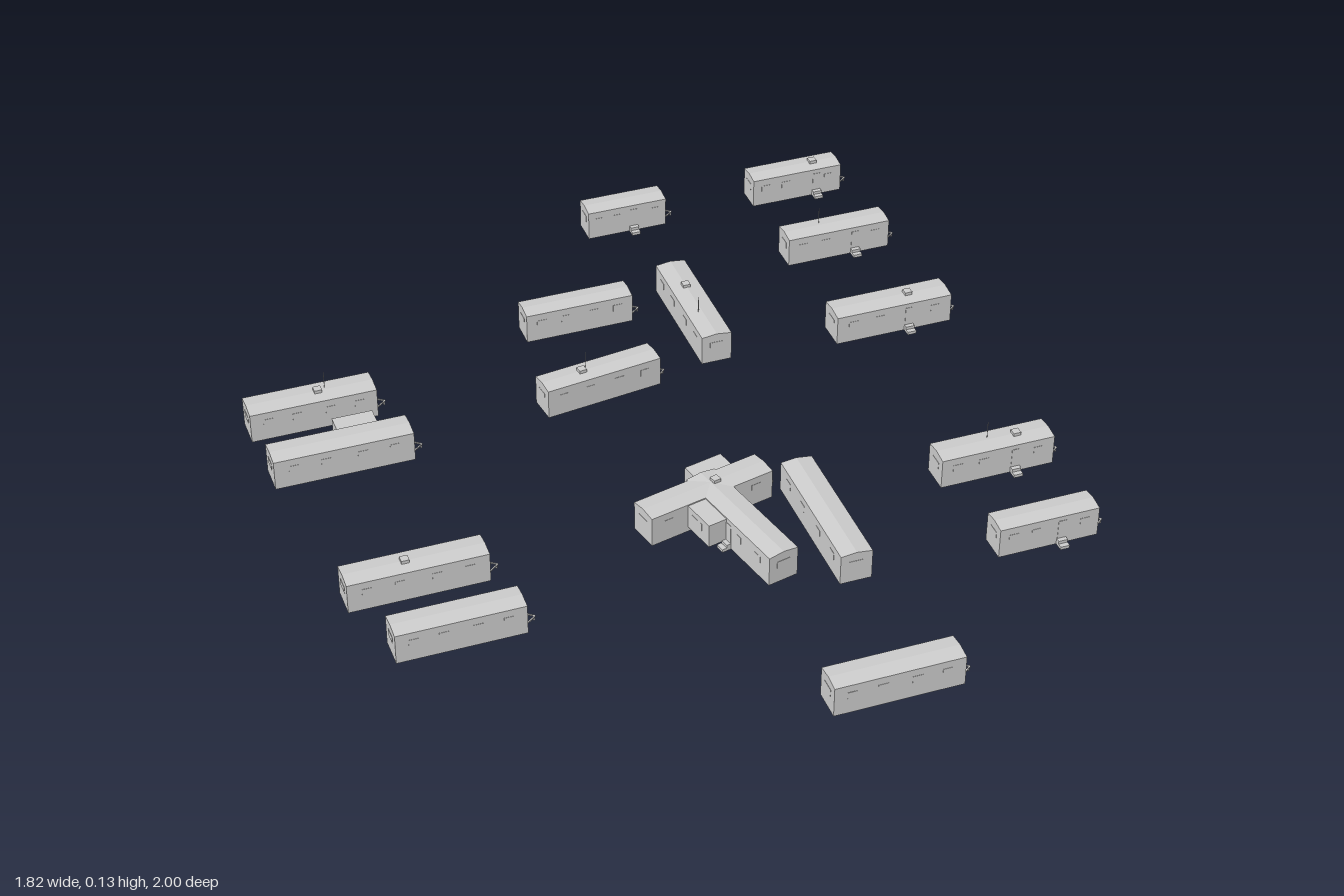
import * as THREE from 'three';

const mat = new THREE.MeshStandardMaterial({ color: 0xcccccc, flatShading: true, side: THREE.DoubleSide });
const EAVE = 0.078, RIDGE = 0.083;

function add(group, name, geometry, x = 0, y = 0, z = 0) {
  const mesh = new THREE.Mesh(geometry, mat);
  mesh.name = name;
  mesh.position.set(x, y, z);
  group.add(mesh);
  return mesh;
}

const box = (g, name, w, h, d, x, y, z) => add(g, name, new THREE.BoxGeometry(w, h, d), x, y, z);

// Straight square bar between two points
function bar(group, name, a, b, t) {
  const length = a.distanceTo(b);
  const mesh = add(group, name, new THREE.BoxGeometry(t, t, length));
  mesh.position.copy(a).add(b).multiplyScalar(0.5);
  mesh.lookAt(b);
  return mesh;
}

// Hollow shell, open underneath: two side walls, shallow gable roof and end walls
function shell(length, width) {
  const w = width / 2, h = length / 2;
  const profile = [[w, 0], [w, EAVE], [0, RIDGE], [-w, EAVE], [-w, 0]];
  const pos = [];
  for (let i = 0; i < 4; i++) {
    const [z0, y0] = profile[i], [z1, y1] = profile[i + 1];
    pos.push(-h, y0, z0, h, y0, z0, h, y1, z1, -h, y0, z0, h, y1, z1, -h, y1, z1);
  }
  for (const s of [1, -1]) {
    for (let i = 1; i < 4; i++) {
      const a = profile[0], b = profile[i], c = profile[i + 1];
      const tri = s > 0 ? [a, c, b] : [a, b, c];
      tri.forEach(([z, y]) => pos.push(s * h, y, z));
    }
  }
  const g = new THREE.BufferGeometry();
  g.setAttribute('position', new THREE.Float32BufferAttribute(pos, 3));
  g.computeVertexNormals();
  return g;
}

// One trailer home with its hitch toward local +x and its door on the given side of z
function trailer({ x, z, l, w, turn = 0, side = 1, step, vent, mast, slide }) {
  const g = new THREE.Group();
  g.name = 'trailer';
  const h = l / 2, wall = w / 2;
  add(g, 'bodyShell', shell(l, w));

  // A-frame hitch with coupler and jack
  const tip = new THREE.Vector3(h + 0.028, 0.011, 0);
  for (const s of [-1, 1]) bar(g, 'hitchBar', new THREE.Vector3(h, 0.011, s * 0.021), tip, 0.003);
  box(g, 'hitchJack', 0.003, 0.012, 0.003, h + 0.025, 0.006, 0);

  // Door and two-tread steps
  box(g, 'door', 0.02, 0.05, 0.002, step, 0.041, side * wall);
  box(g, 'lowerStep', 0.023, 0.008, 0.024, step, 0.004, side * (wall + 0.012));
  box(g, 'upperStep', 0.023, 0.008, 0.012, step, 0.012, side * (wall + 0.006));

  // Windows on both long walls and the ends
  for (const s of [-1, 1]) {
    for (const f of [-0.36, -0.13, 0.13, 0.36]) {
      const wx = f * l;
      const nearDoor = s === side && Math.abs(wx - step) < 0.026;
      const inSlide = slide && s === side && wx > -0.012 && wx < 0.118;
      if (!nearDoor && !inSlide) box(g, 'sideWindow', 0.024, 0.018, 0.0016, wx, 0.05, s * wall);
    }
    box(g, 'endWindow', 0.0016, 0.018, w * 0.45, s * h, 0.05, 0);
  }

  // Slide-out room
  if (slide) {
    box(g, 'slideOut', 0.1, 0.062, 0.048, 0.053, 0.044, side * (wall + 0.024));
    box(g, 'slideOutWindow', 0.04, 0.02, 0.0016, 0.053, 0.05, side * (wall + 0.048));
  }

  // Roof fittings
  if (vent !== undefined) box(g, 'roofVent', 0.019, 0.009, 0.019, vent, 0.0855, 0);
  if (mast !== undefined) {
    add(g, 'mast', new THREE.CylinderGeometry(0.0008, 0.0008, 0.047, 6), mast, 0.1035, -0.01);
  }
  g.position.set(x, 0, z);
  g.rotation.y = THREE.MathUtils.degToRad(turn);
  return g;
}

export function createModel() {
  const park = new THREE.Group();
  park.name = 'trailerPark';
  const homes = [
    // Right-hand column
    { x: 0.243, z: -0.965, l: 0.215, w: 0.07, step: 0.017 },
    { x: 0.725, z: -0.965, l: 0.25, w: 0.07, step: 0.055, vent: 0.055 },
    { x: 0.725, z: -0.672, l: 0.28, w: 0.072, step: 0.045, mast: -0.04 },
    { x: 0.725, z: -0.31, l: 0.31, w: 0.08, step: 0.04, vent: 0.05 },
    { x: 0.725, z: 0.313, l: 0.29, w: 0.075, step: 0.045, vent: 0.06, mast: -0.01 },
    { x: 0.725, z: 0.595, l: 0.25, w: 0.07, step: 0.032 },
    // Centre
    { x: -0.02, z: -0.575, l: 0.28, w: 0.07, side: -1, step: 0.045 },
    { x: -0.06, z: -0.278, l: 0.305, w: 0.072, turn: 7.5, side: -1, step: 0.06, vent: -0.045, mast: -0.03 },
    { x: 0.26, z: -0.475, l: 0.34, w: 0.078, turn: 90, step: 0.03, vent: 0.055, mast: -0.065 },
    { x: 0.26, z: 0.41, l: 0.37, w: 0.078, turn: 90, step: 0.065 },
    { x: 0.195, z: 0.96, l: 0.31, w: 0.075, side: -1, step: 0.04 },
    // Crossed pair with slide-outs
    { x: 0.02, z: 0.248, l: 0.335, w: 0.076, turn: 13, side: -1, step: -0.006, vent: 0.032, slide: true },
    { x: 0.067, z: 0.369, l: 0.343, w: 0.078, turn: 103, side: -1, step: -0.006, slide: true },
    // Left-hand column
    { x: -0.752, z: -0.41, l: 0.315, w: 0.078, side: -1, step: 0.042, vent: 0.02, mast: 0.04 },
    { x: -0.729, z: -0.213, l: 0.343, w: 0.078, side: -1, step: -0.006, slide: true },
    { x: -0.688, z: 0.278, l: 0.335, w: 0.075, side: -1, step: 0.058, vent: -0.022 },
    { x: -0.648, z: 0.478, l: 0.305, w: 0.075, side: -1, step: 0.028 },
  ];
  homes.forEach((home) => park.add(trailer(home)));
  return park;
}
